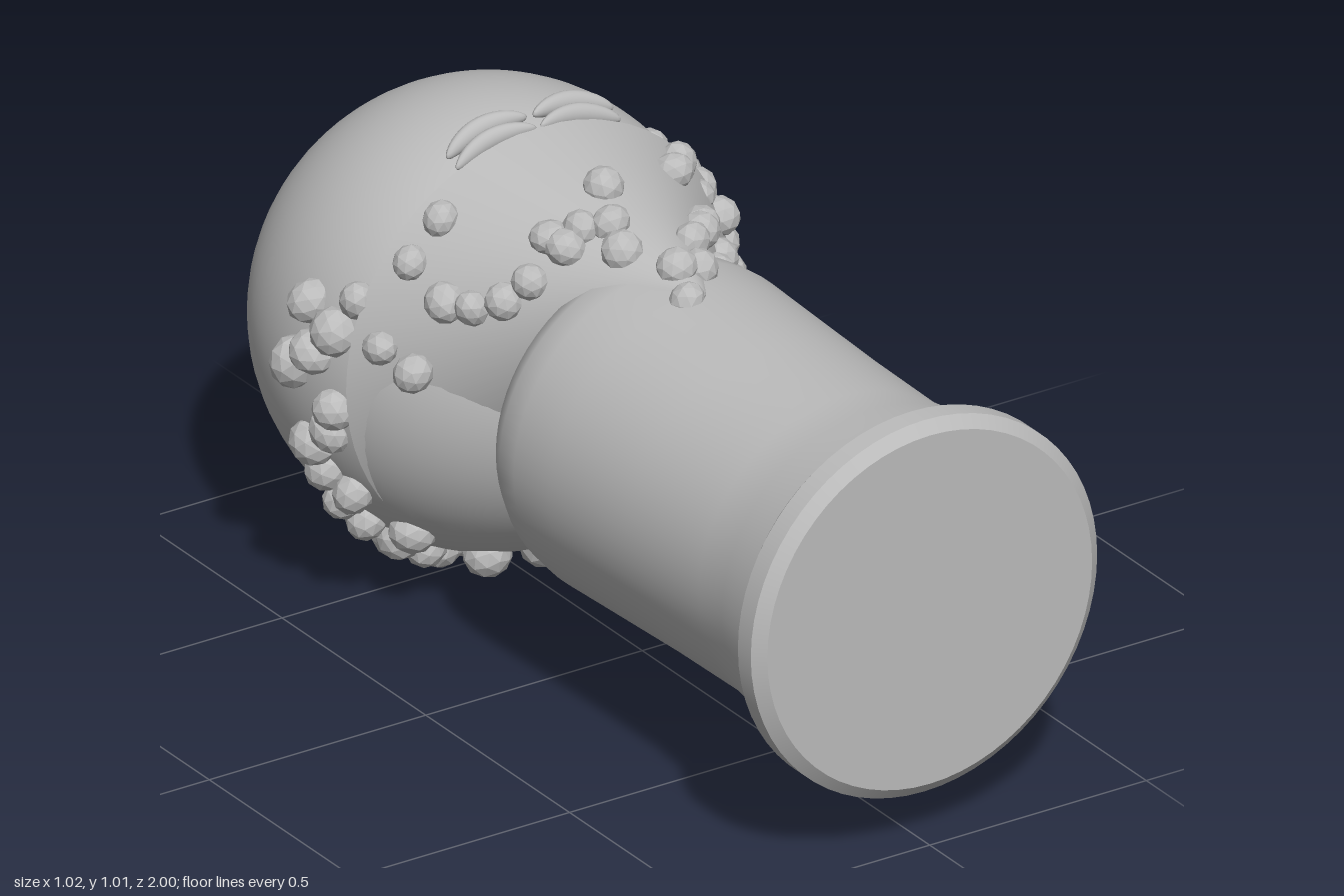
import * as THREE from 'three';

const CY = 0.54, CZ = -0.535, R = 0.465; // ball centre and radius

export function createModel() {
  const group = new THREE.Group();
  const grey = new THREE.MeshStandardMaterial({ color: 0xbbbbbb });
  grey.name = 'grey';
  const add = (name, geo, x, y, z, parent = group) => {
    const mesh = new THREE.Mesh(geo, grey);
    mesh.name = name;
    mesh.position.set(x, y, z);
    parent.add(mesh);
    return mesh;
  };
  let seed = 7;
  const rand = () => (seed = (seed * 16807) % 2147483647) / 2147483647;

  // Ball
  add('ball', new THREE.SphereGeometry(R, 64, 40), 0, CY, CZ);

  // Tube with flange: [radius, z]; repeated points make sharp edges
  const profile = [
    [0, -0.08], [0.2, -0.077], [0.28, -0.055], [0.325, -0.02], [0.343, 0.02], [0.35, 0.08],
    [0.346, 0.2], [0.338, 0.45], [0.335, 0.7], [0.348, 0.8], [0.365, 0.895], [0.365, 0.895],
    [0.4, 0.935], [0.4, 0.935], [0.4, 0.98], [0.4, 0.98], [0.375, 1], [0.375, 1], [0, 1],
  ].map(([r, z]) => new THREE.Vector2(r, z));
  add('tube', new THREE.LatheGeometry(profile, 64).rotateX(Math.PI / 2), 0, CY, 0);

  // Slanted cone whose tip rests on the tube
  const cone = new THREE.ConeGeometry(0.445, 0.58, 64, 4).rotateX(Math.PI / 2);
  cone.applyMatrix4(new THREE.Matrix4().set(1, 0, 0, 0, 0, 1, 0.56, 0, 0, 0, 1, 0, 0, 0, 0, 1));
  add('hood', cone, 0, 0.7275, -0.07);

  // Pair of curved folded ridges on top
  for (const side of [1, -1]) {
    const ridge = new THREE.Group();
    ridge.name = side > 0 ? 'leftRidge' : 'rightRidge';
    for (const [name, dy, dz, ry, rz] of [['rearFold', 0, -0.016, 0.024, 0.019], ['frontFold', -0.012, 0.014, 0.022, 0.017]]) {
      const geo = new THREE.SphereGeometry(1, 28, 14).scale(0.095, ry, rz);
      const p = geo.attributes.position;
      for (let i = 0; i < p.count; i++) {
        const bend = 1 - (p.getX(i) / 0.095) ** 2;
        p.setZ(i, p.getZ(i) - 0.018 * bend);
        p.setY(i, p.getY(i) + 0.012 * bend);
      }
      geo.computeVertexNormals();
      add(name, geo, 0, dy, dz, ridge);
    }
    ridge.position.set(side * 0.1, 1.003, -0.375);
    ridge.rotation.z = -side * 0.2;
    group.add(ridge);
  }

  // Faceted pebbles
  const pebbles = new THREE.Group();
  pebbles.name = 'pebbles';
  group.add(pebbles);
  const pebbleGeo = new THREE.IcosahedronGeometry(1, 1);
  pebbleGeo.computeVertexNormals();
  const pebble = (x, y, z, r) => {
    const m = add('pebble', pebbleGeo, x, y, z, pebbles);
    const s = () => r * (0.9 + 0.25 * rand());
    m.scale.set(s(), s(), s());
    m.rotation.set(rand() * 6, rand() * 6, rand() * 6);
  };

  // Pebbles on the left flank of the ball: [z, y]
  const leftFlank = [
    [-0.33, 0.78], [-0.35, 0.72], [-0.36, 0.65], [-0.35, 0.58], [-0.42, 0.74], [-0.48, 0.75], [-0.54, 0.74],
    [-0.59, 0.76], [-0.62, 0.71], [-0.45, 0.68], [-0.5, 0.69], [-0.55, 0.66], [-0.61, 0.65], [-0.42, 0.6],
    [-0.47, 0.57], [-0.52, 0.62], [-0.57, 0.58], [-0.62, 0.59], [-0.46, 0.52], [-0.55, 0.51], [-0.58, 0.45],
    [-0.63, 0.45], [-0.44, 0.4], [-0.35, 0.32], [-0.4, 0.28], [-0.35, 0.24], [-0.46, 0.28], [-0.52, 0.28],
    [-0.56, 0.22], [-0.6, 0.22], [-0.42, 0.22], [-0.48, 0.2], [-0.52, 0.16], [-0.45, 0.15],
    [-0.57, 0.14], [-0.37, 0.17],
  ];
  for (const [z, y] of leftFlank) {
    const x = Math.sqrt(Math.max(R * R - (y - CY) ** 2 - (z - CZ) ** 2, 0.001));
    pebble(x, y, z, 0.039);
  }

  // Pebbles under the ball and up its right flank: [degrees from straight down, z, radius]
  const belt = [
    [24, -0.42, 0.045], [20, -0.52, 0.045], [16, -0.58, 0.04], [12, -0.46, 0.042], [9, -0.36, 0.05],
    [4, -0.37, 0.055], [2, -0.5, 0.042], [-3, -0.56, 0.042], [-6, -0.47, 0.045], [-9, -0.53, 0.04],
    [-16, -0.36, 0.048], [-18, -0.49, 0.045], [-25, -0.46, 0.045], [-31, -0.5, 0.045], [-36, -0.44, 0.045],
    [-41, -0.37, 0.044], [-46, -0.46, 0.045], [-53, -0.48, 0.042], [-59, -0.42, 0.044], [-65, -0.47, 0.042],
    [-73, -0.48, 0.045], [-79, -0.42, 0.045], [-86, -0.4, 0.045], [-94, -0.51, 0.05], [-99, -0.46, 0.045],
    [-106, -0.42, 0.045], [-110, -0.5, 0.045], [-116, -0.39, 0.04],
  ];
  for (const [deg, z, r] of belt) {
    const a = THREE.MathUtils.degToRad(deg), rr = Math.sqrt(R * R - (z - CZ) ** 2);
    pebble(rr * Math.sin(a), CY - rr * Math.cos(a), z, r);
  }

  // Pebbles scattered over the hood, dropped onto its upper surface: [x, z]
  const hoodSpots = [
    [-0.33, -0.31], [-0.26, -0.31], [-0.37, -0.24], [-0.31, -0.22], [-0.28, -0.17], [-0.24, -0.12],
    [-0.2, -0.09], [-0.14, -0.11], [-0.13, -0.07], [-0.09, -0.08], [-0.04, -0.05], [-0.06, 0.02],
    [0.01, -0.15], [0, 0.12], [0.05, 0.12], [-0.03, 0.2], [0.1, 0.02], [0.18, -0.07], [0.2, -0.1],
    [0.23, -0.24], [0.29, -0.31], [0.3, -0.15], [0.33, -0.19], [0.25, -0.09], [0.22, -0.07],
    [0.27, -0.14], [0.39, -0.32], [-0.4, -0.31],
  ];
  for (const [x, z] of hoodSpots) {
    const t = (0.22 - z) / 0.58, r = 0.445 * t;
    const y = 0.89 - 0.325 * t + Math.sqrt(Math.max(r * r - x * x, 0));
    pebble(x, y, z, 0.038);
  }
  return group;
}
